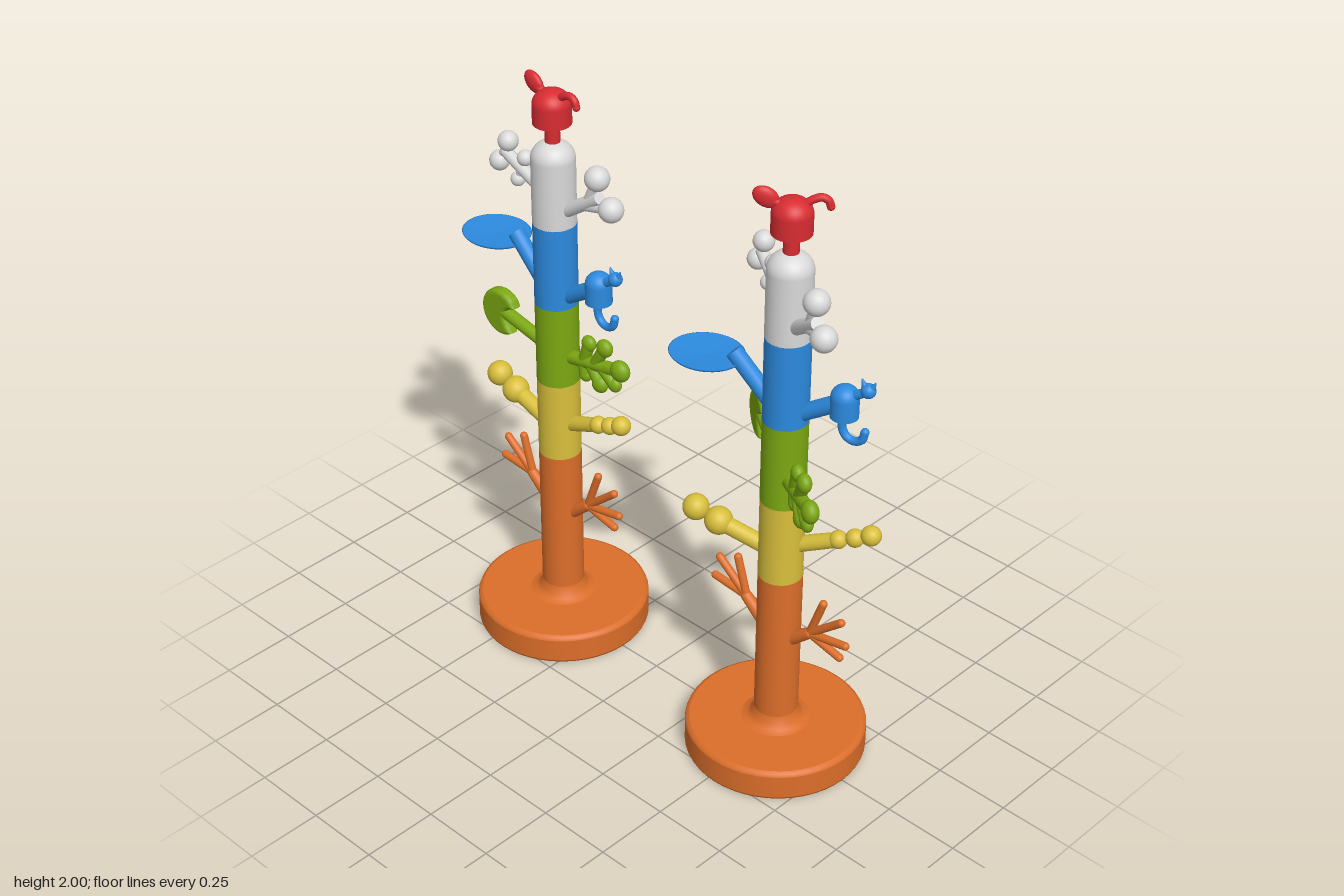
import * as THREE from 'three';

const paint = (name, color) => {
  const m = new THREE.MeshStandardMaterial({ color });
  m.name = name;
  return m;
};
const V = (p) => new THREE.Vector3(p[0], p[1], p[2] || 0);

// Mesh helpers; every part lies in the plane z = 0 of its own tree section
function add(group, name, geometry, material, pos = [0, 0, 0]) {
  const m = new THREE.Mesh(geometry, material);
  m.name = name;
  m.position.copy(V(pos));
  group.add(m);
  return m;
}
function rod(group, name, mat, a, b, r0, r1 = r0) {
  const d = V(b).sub(V(a));
  const m = add(group, name, new THREE.CylinderGeometry(r1, r0, d.length(), 20), mat);
  m.position.copy(V(a)).addScaledVector(d, 0.5);
  m.quaternion.setFromUnitVectors(new THREE.Vector3(0, 1, 0), d.normalize());
  return m;
}
function ball(group, name, mat, x, y, r, flat = 1) {
  const m = add(group, name, new THREE.SphereGeometry(r, 24, 16), mat, [x, y, 0]);
  m.scale.z = flat;
  return m;
}
function finger(group, name, mat, a, b, r) {
  rod(group, name, mat, a, b, r);
  ball(group, name + 'Tip', mat, b[0], b[1], r);
}
function tube(group, name, mat, points, r) {
  const curve = new THREE.CatmullRomCurve3(points.map(V));
  add(group, name, new THREE.TubeGeometry(curve, 32, r, 12), mat);
  const end = points[points.length - 1];
  ball(group, name + 'Tip', mat, end[0], end[1], r);
}
const lathe = (pts) => new THREE.LatheGeometry(pts.map((p) => new THREE.Vector2(...p)), 48);
// Cylinder with a domed top
function domed(r, y0, y1, rise) {
  const pts = [[0, y0], [r, y0], [r, y0]];
  for (let i = 0; i <= 10; i++) {
    const t = (i / 10) * Math.PI / 2;
    pts.push([r * Math.cos(t), y1 - rise + rise * Math.sin(t)]);
  }
  return lathe(pts);
}

const R = 0.07;

// Disc foot, flared trunk and bare twigs
function twigSection(g, mat) {
  add(g, 'foot', lathe([[0, 0], [0.278, 0], [0.285, 0.003], [0.288, 0.01], [0.288, 0.01], [0.288, 0.09],
    [0.288, 0.09], [0.284, 0.1], [0.274, 0.105], [0.274, 0.105], [0.11, 0.105]]), mat);
  add(g, 'trunk', lathe([[0.11, 0.105], [0.09, 0.112], [0.077, 0.126], [R, 0.15], [R, 0.15], [R, 0.668], [R, 0.668], [0, 0.668]]), mat);
  const sides = [
    [[-0.05, 0.44], [-0.135, 0.505], [[-0.174, 0.635], [-0.25, 0.597], [-0.268, 0.517]]],
    [[0.05, 0.44], [0.125, 0.5], [[0.175, 0.638], [0.247, 0.605], [0.268, 0.527], [0.247, 0.472]]]];
  for (const [root, fork, tips] of sides) {
    rod(g, 'twig', mat, root, fork, 0.024, 0.018);
    ball(g, 'twigFork', mat, ...fork, 0.018);
    for (const tip of tips) finger(g, 'twigFinger', mat, fork, tip, 0.013);
  }
}

// Beaded branches
function beadSection(g, mat) {
  add(g, 'trunk', new THREE.CylinderGeometry(R, R, 0.278, 48), mat, [0, 0.807, 0]);
  rod(g, 'beadBranch', mat, [-0.04, 0.75], [-0.2, 0.803], 0.027);
  ball(g, 'bead', mat, -0.205, 0.805, 0.045);
  ball(g, 'bead', mat, -0.28, 0.835, 0.042);
  rod(g, 'beadBranch', mat, [0.04, 0.785], [0.175, 0.84], 0.026, 0.024);
  for (const [x, y, r] of [[0.18, 0.843, 0.029], [0.232, 0.863, 0.029], [0.282, 0.886, 0.032]]) ball(g, 'bead', mat, x, y, r);
}

// Fan leaf and lobed leaf
function leafSection(g, mat) {
  add(g, 'trunk', new THREE.CylinderGeometry(R, R, 0.286, 48), mat, [0, 1.088, 0]);
  rod(g, 'fanStem', mat, [-0.04, 1.045], [-0.25, 1.09], 0.022);
  const fan = new THREE.Shape();
  fan.absarc(0, 0, 0.066, 0.75, Math.PI * 2 - 1.1, false);
  fan.quadraticCurveTo(0.004, -0.03, 0.005, 0);
  fan.quadraticCurveTo(0.012, 0.03, 0.048, 0.045);
  const geo = new THREE.ExtrudeGeometry(fan, { depth: 0.014, bevelEnabled: true, bevelThickness: 0.015,
    bevelSize: 0.015, bevelSegments: 4, curveSegments: 32 });
  geo.translate(0, 0, -0.007);
  add(g, 'fanLeaf', geo, mat, [-0.253, 1.087, 0]);

  rod(g, 'lobedStem', mat, [0.04, 1.045], [0.25, 1.082], 0.024, 0.02);
  const lobes = [[0.12, 1.06, 0.143, 1.133, 0.027], [0.17, 1.07, 0.213, 1.145, 0.03], [0.22, 1.08, 0.28, 1.09, 0.036],
    [0.2, 1.07, 0.255, 1.03, 0.026], [0.15, 1.06, 0.19, 1.003, 0.03], [0.12, 1.055, 0.125, 1.01, 0.024]];
  for (const [x0, y0, x1, y1, r] of lobes) {
    rod(g, 'lobeNeck', mat, [x0, y0], [x1, y1], 0.02);
    ball(g, 'lobe', mat, x1, y1, r, 0.75);
  }
}

// Shallow dish leaf and hanging creature
function creatureSection(g, mat) {
  add(g, 'trunk', new THREE.CylinderGeometry(R, R, 0.286, 48), mat, [0, 1.374, 0]);
  rod(g, 'dishStem', mat, [-0.03, 1.255], [-0.178, 1.408], 0.027);
  const dish = lathe([[0, -0.03], [0.4, -0.027], [0.75, -0.016], [0.95, -0.004], [1, 0.003], [0.97, 0.004], [0.6, 0], [0, -0.004]]);
  add(g, 'dishLeaf', dish, mat, [-0.268, 1.373, 0]).scale.set(0.118, 1, 0.105);

  rod(g, 'perch', mat, [0.03, 1.255], [0.18, 1.35], 0.026);
  add(g, 'creatureBody', domed(0.043, 1.305, 1.41, 0.04), mat, [0.19, 0, 0]);
  tube(g, 'tail', mat, [[0.19, 1.32], [0.185, 1.265], [0.2, 1.238], [0.225, 1.23], [0.25, 1.242], [0.259, 1.272]], 0.013);
  rod(g, 'neck', mat, [0.2, 1.375], [0.26, 1.41], 0.016, 0.013);
  ball(g, 'creatureHead', mat, 0.263, 1.415, 0.023);
  for (const s of [-1, 1]) rod(g, 'creatureEar', mat, [0.263 + s * 0.011, 1.425], [0.263 + s * 0.022, 1.449], 0.011, 0.002);
}

// Domed crown with berries
function berrySection(g, mat) {
  add(g, 'trunk', domed(R, 1.516, 1.797, 0.06), mat);
  rod(g, 'berryBranch', mat, [0.03, 1.56], [0.2, 1.672], 0.024, 0.02);
  finger(g, 'berryStalk', mat, [0.11, 1.615], [0.248, 1.65], 0.016);
  finger(g, 'berryStalk', mat, [0.15, 1.645], [0.19, 1.735], 0.016);
  rod(g, 'berryBranch', mat, [-0.03, 1.6], [-0.215, 1.683], 0.022, 0.019);
  const links = [[-0.2, 1.722, -0.242, 1.64], [-0.125, 1.69, -0.16, 1.605]];
  for (const [x0, y0, x1, y1] of links) rod(g, 'berryLink', mat, [x0, y0], [x1, y1], 0.012);
  const berries = [[0.19, 1.735, 0.04], [0.248, 1.65, 0.04], [-0.2, 1.722, 0.033],
    [-0.242, 1.64, 0.033], [-0.125, 1.69, 0.026], [-0.16, 1.605, 0.024]];
  for (const [x, y, r] of berries) ball(g, 'berry', mat, x, y, r);
}

// Bell-shaped finial with a paddle ear and a curled ear
function finialSection(g, mat) {
  rod(g, 'finialPost', mat, [0, 1.78], [0, 1.87], 0.024);
  add(g, 'finialHead', domed(0.061, 1.856, 1.968, 0.05), mat);
  rod(g, 'earStalk', mat, [-0.02, 1.935], [-0.07, 1.965], 0.014);
  const ear = ball(g, 'paddleEar', mat, -0.075, 1.966, 0.042, 0.4);
  ear.scale.y = 0.72;
  ear.rotation.z = -0.6;
  tube(g, 'curledEar', mat, [[0.02, 1.935], [0.055, 1.962], [0.082, 1.97], [0.1, 1.96], [0.106, 1.942]], 0.012);
}

export function createModel() {
  const model = new THREE.Group();
  model.name = 'twoTrees';
  const sections = [
    ['twigSection', twigSection, paint('orange', 0xdc6e2a), 0],
    ['beadSection', beadSection, paint('yellow', 0xd8bf3c), 21],
    ['leafSection', leafSection, paint('green', 0x7ca812), -33],
    ['creatureSection', creatureSection, paint('blue', 0x2c8ade), 13],
    ['berrySection', berrySection, paint('paleGrey', 0xd9d9d9), -26],
    ['finialSection', finialSection, paint('red', 0xd82c32), 40]];
  // The second tree has its sections turned about the trunk
  [[-0.438, 0], [0.526, 1]].forEach(([x, turned]) => {
    const tree = new THREE.Group();
    tree.name = turned ? 'turnedTree' : 'alignedTree';
    tree.position.x = x;
    for (const [name, build, mat, angle] of sections) {
      const g = new THREE.Group();
      g.name = name;
      build(g, mat);
      g.rotation.y = turned * THREE.MathUtils.degToRad(angle);
      tree.add(g);
    }
    model.add(tree);
  });
  return model;
}
